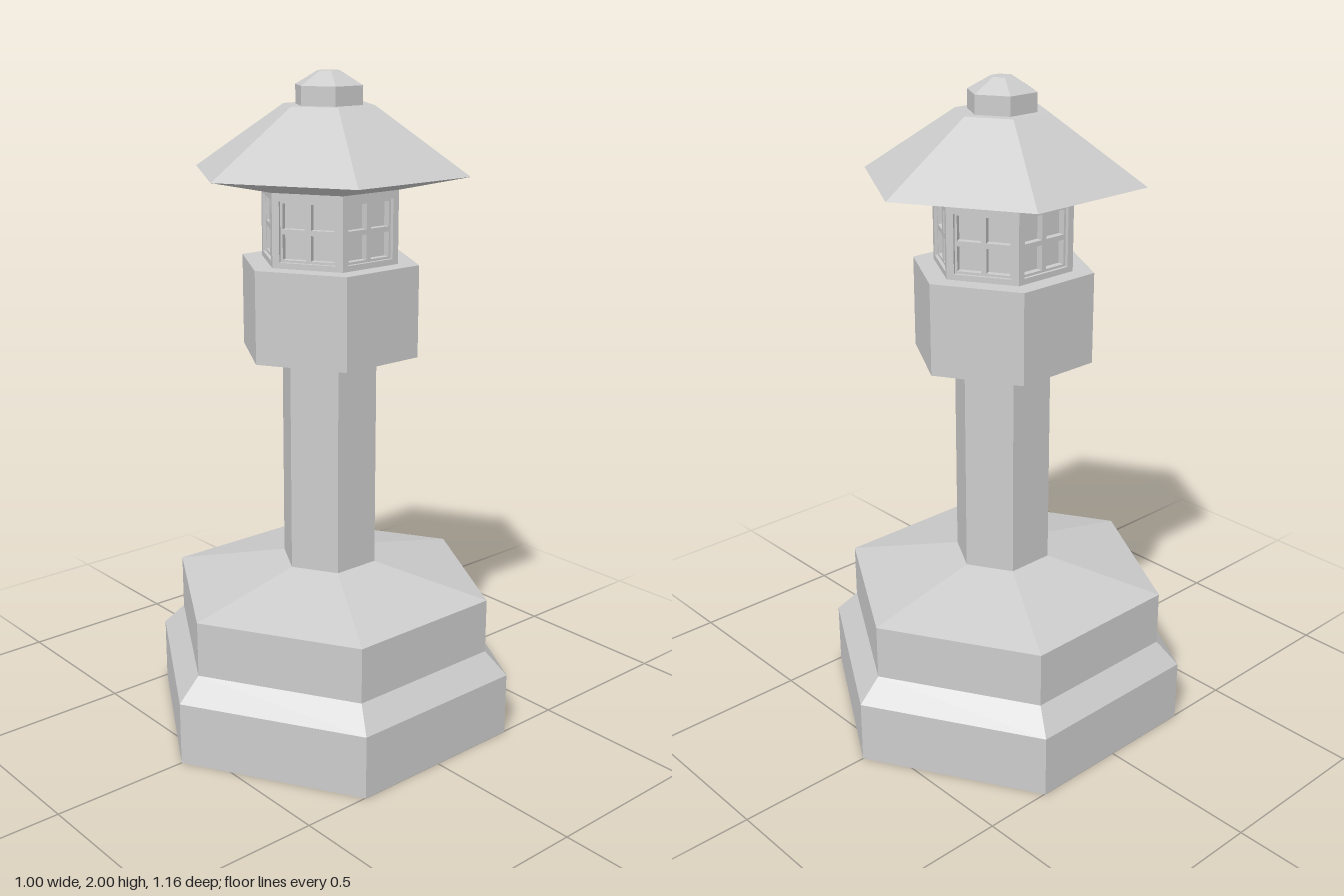
import * as THREE from 'three';

const material = new THREE.MeshStandardMaterial({ color: 0xcccccc, flatShading: true });

// Six-sided solid from [corner radius, height] pairs, listed bottom to top
function hexSolid(name, profile) {
  const pts = [[0, profile[0][1]], ...profile, [0, profile.at(-1)[1]]];
  const geometry = new THREE.LatheGeometry(pts.map(([r, y]) => new THREE.Vector2(r, y)), 6);
  const mesh = new THREE.Mesh(geometry, material);
  mesh.name = name;
  return mesh;
}

function rectangle(Type, x0, y0, x1, y1) {
  const r = new Type();
  r.moveTo(x0, y0);
  r.lineTo(x1, y0);
  r.lineTo(x1, y1);
  r.lineTo(x0, y1);
  r.closePath();
  return r;
}

// Flat panel with rectangular openings, its front face at z = front
function panel(name, outline, openings, front, depth) {
  const shape = rectangle(THREE.Shape, ...outline);
  shape.holes = openings.map((o) => rectangle(THREE.Path, ...o));
  const geometry = new THREE.ExtrudeGeometry(shape, { depth, bevelEnabled: false });
  geometry.translate(0, 0, front - depth);
  const mesh = new THREE.Mesh(geometry, material);
  mesh.name = name;
  return mesh;
}

export function createModel() {
  const model = new THREE.Group();
  model.name = 'stoneLantern';

  model.add(
    hexSolid('steppedBase', [[0.58, 0], [0.58, 0.195], [0.51, 0.265], [0.51, 0.435], [0.15, 0.515]]),
    hexSolid('column', [[0.15, 0.5], [0.15, 1.19]]),
    hexSolid('platform', [[0.277, 1.18], [0.277, 1.455]]),
    hexSolid('lanternCore', [[0.178, 1.45], [0.178, 1.68]]),
    hexSolid('roof', [[0.213, 1.67], [0.423, 1.715], [0.14, 1.905]]),
    hexSolid('finial', [[0.103, 1.9], [0.103, 1.96], [0.034, 2]]),
  );

  // Window walls around the light chamber
  const radius = 0.213, apothem = radius * Math.cos(Math.PI / 6);
  const opening = [-0.085, 1.472, 0.085, 1.647];
  const panes = [];
  for (const [x0, x1] of [[-0.078, -0.008], [0.008, 0.078]])
    for (const [y0, y1] of [[1.479, 1.552], [1.567, 1.64]]) panes.push([x0, y0, x1, y1]);

  for (let i = 0; i < 6; i++) {
    const wall = new THREE.Group();
    wall.name = 'windowWall' + (i + 1);
    wall.add(
      panel('windowFrame', [-radius / 2, 1.455, radius / 2, 1.67], [opening], apothem, 0.032),
      panel('windowLattice', opening, panes, apothem - 0.01, 0.022),
    );
    wall.rotation.y = Math.PI / 6 + (i * Math.PI) / 3;
    model.add(wall);
  }
  return model;
}
